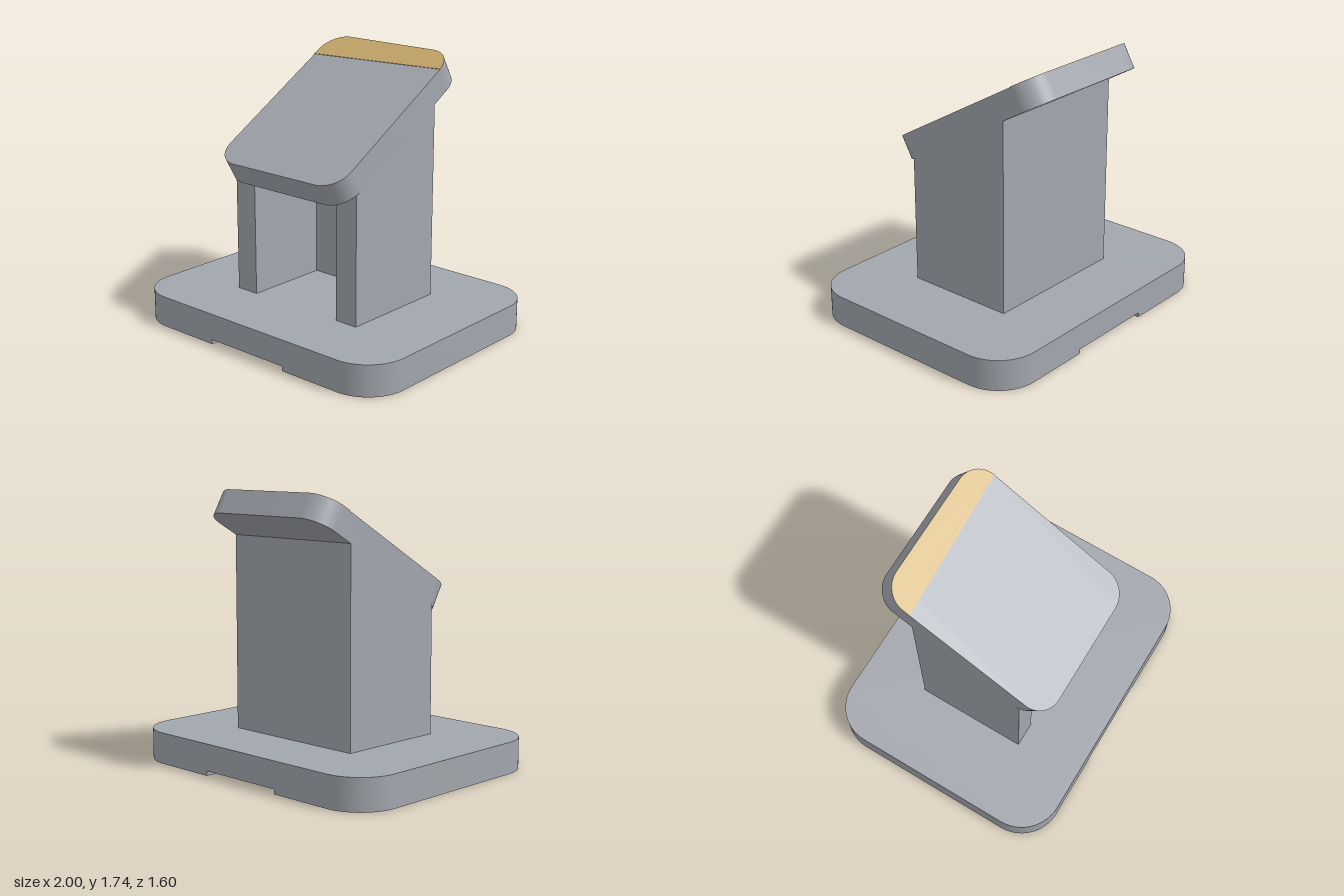
import * as THREE from 'three';
import { toCreasedNormals } from 'three/addons/utils/BufferGeometryUtils.js';

const grey = new THREE.MeshStandardMaterial({ color: 0xa2a6ad });
grey.name = 'grey';
const gold = new THREE.MeshStandardMaterial({ color: 0xc8aa6c });
gold.name = 'gold';

const TILT = Math.PI / 6;
const PLATE_Y = 1.418; // height of the tilted top face at z = 0
const PLATE_T = 0.16;

function part(name, geometry, material) {
  const mesh = new THREE.Mesh(toCreasedNormals(geometry, 0.5), material);
  mesh.name = name;
  return mesh;
}

// Horizontal slab; radii are for the front-left, back-left, back-right, front-right corners.
function slab(x0, x1, z0, z1, y0, height, radii) {
  const shape = new THREE.Shape();
  const corners = [[x1, -z1, -1, 1], [x1, -z0, -1, -1], [x0, -z0, 1, -1], [x0, -z1, 1, 1]];
  corners.forEach(([x, y, sx, sy], i) => {
    const r = radii[i];
    if (r === 0) {
      if (i === 0) shape.moveTo(x, y);
      else shape.lineTo(x, y);
      return;
    }
    const start = -Math.PI / 2 + i * Math.PI / 2;
    const cx = x + sx * r, cy = y + sy * r;
    if (i === 0) shape.moveTo(cx, y);
    shape.absarc(cx, cy, r, start, start + Math.PI / 2, false);
  });
  shape.closePath();
  const g = new THREE.ExtrudeGeometry(shape, { depth: height, bevelEnabled: false, curveSegments: 16 });
  g.rotateX(-Math.PI / 2);
  return g.translate(0, y0, 0);
}

// Upright wall whose top follows the underside of the tilted plate.
function wall(x0, x1, z0, z1) {
  const top = z => PLATE_Y - PLATE_T / Math.cos(TILT) - z * Math.tan(TILT);
  const shape = new THREE.Shape();
  shape.moveTo(z0, 0.2);
  shape.lineTo(z1, 0.2);
  shape.lineTo(z1, top(z1));
  shape.lineTo(z0, top(z0));
  shape.closePath();
  const g = new THREE.ExtrudeGeometry(shape, { depth: x1 - x0, bevelEnabled: false });
  g.rotateY(-Math.PI / 2);
  return g.translate(x1, 0, 0);
}

export function createModel() {
  const model = new THREE.Group();
  model.name = 'tiltedStand';

  // Base with a shallow channel running front to back underneath
  const R = 0.27;
  const base = new THREE.Group();
  base.name = 'base';
  base.add(
    part('baseSlab', slab(-1, 1, -0.8, 0.8, 0.03, 0.17, [R, R, R, R]), grey),
    part('leftFoot', slab(0.3, 1, -0.8, 0.8, 0, 0.03, [R, R, 0, 0]), grey),
    part('rightFoot', slab(-1, -0.3, -0.8, 0.8, 0, 0.03, [0, 0, R, R]), grey)
  );
  model.add(base);

  // Column: two sides and a back, open at the front
  const column = new THREE.Group();
  column.name = 'column';
  column.add(
    part('leftWall', wall(0.34, 0.5, -0.366, 0.366), grey),
    part('rightWall', wall(-0.5, -0.34, -0.366, 0.366), grey),
    part('backWall', wall(-0.34, 0.34, -0.366, -0.206), grey)
  );
  model.add(column);

  // Tilted plate with a gold strip at its raised end
  const L = 0.635, r = 0.16;
  const plate = new THREE.Group();
  plate.name = 'tiltedPlate';
  plate.add(
    part('plate', slab(-0.5, 0.5, -L, L, -PLATE_T, PLATE_T, [r, r, r, r]), grey),
    part('goldStrip', slab(-0.5, 0.5, -L, -L + 0.21, 0, 0.003, [0, r, r, 0]), gold)
  );
  plate.rotation.x = TILT;
  plate.position.y = PLATE_Y;
  model.add(plate);

  return model;
}
